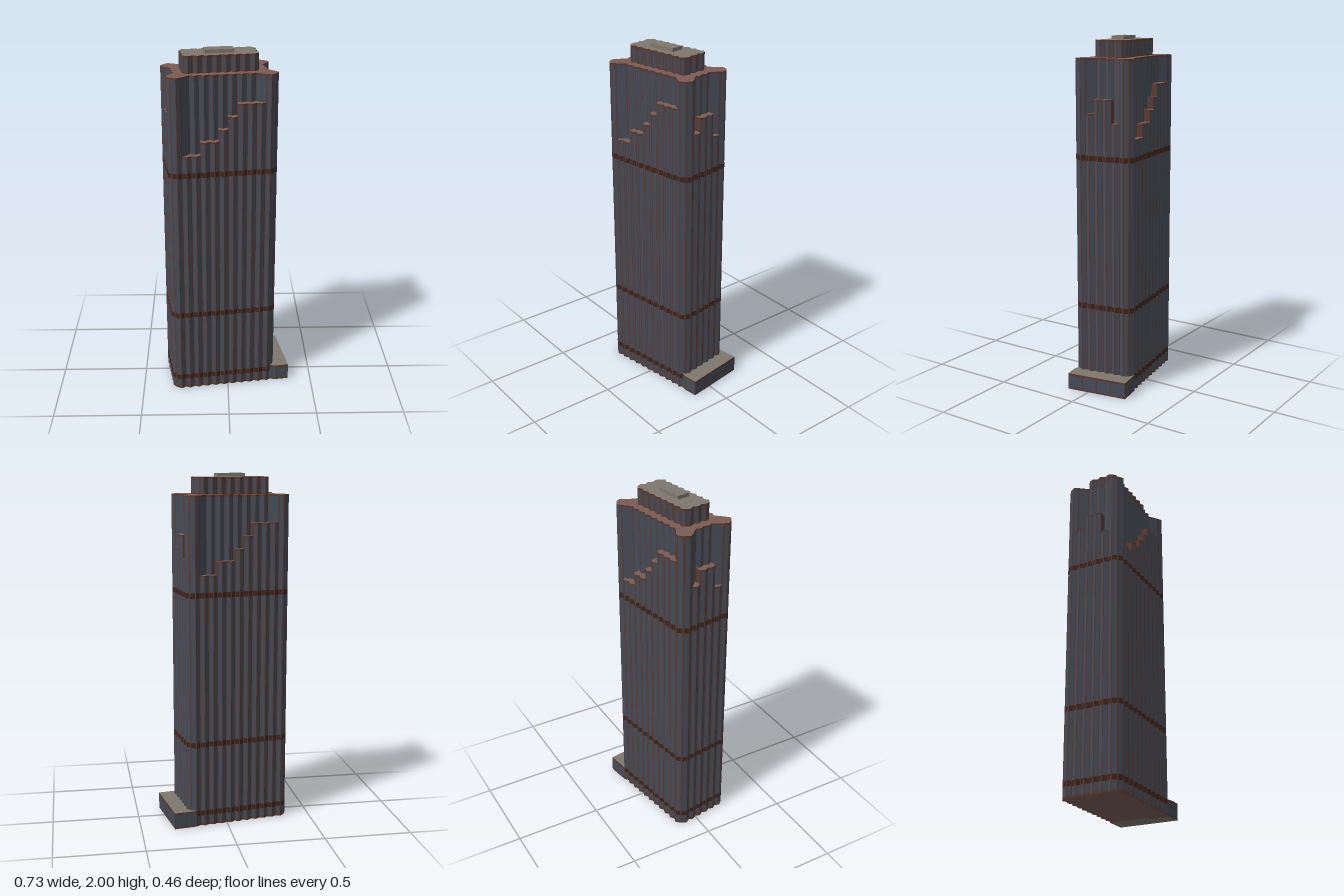
import * as THREE from 'three';

const PITCH = 0.0515, TOOTH = 0.014, RECESS = 0.039;
const STEP = 1.45, ROOF = 1.885, CORE_TOP = 1.98;

const mat = (color) => new THREE.MeshStandardMaterial({ color });

// One saw-toothed side: n bays, tooth tips at distance d, mapped to plan [x, z].
function makeSide(n, d, map) {
  const s = (i) => (i - n / 2) * PITCH;
  const peak = (i) => map(s(i), d);
  const valley = (i) => map(s(i + 0.5), d - TOOTH);
  const edge = (i) => i === 0 || i === n - 1;
  const innerValley = (i) => edge(i) ? valley(i) : map(s(i + 0.5), d - TOOTH - RECESS);
  const innerPeak = (i) => map(s(i), d - RECESS);
  // Outer path and set-back path between two valleys
  const outer = (a, b) => {
    const pts = [valley(a)];
    for (let i = a + 1; i <= b; i++) pts.push(peak(i), valley(i));
    return pts;
  };
  const inner = (a, b) => {
    const pts = [innerValley(a)];
    for (let i = a + 1; i <= b; i++) {
      if (!edge(i - 1) && !edge(i)) pts.push(innerPeak(i));
      pts.push(innerValley(i));
    }
    return pts;
  };
  return { n, peak, valley, outer, inner };
}

const alongFront = (s, d) => [s, d];
const alongRight = (s, d) => [d, -s];
const turn = (pts) => pts.map(([x, z]) => [-x, -z]);

// Closed plan: front, corner, right side, corner, then the same turned by 180 degrees.
function outline(front, right, [cx, cz], kind) {
  const run = (sd) => [sd.peak(0), ...sd[kind](0, sd.n - 1), sd.peak(sd.n)];
  const half = [...run(front), [cx, cz], ...run(right), [cx, -cz]];
  return [...half, ...turn(half)];
}

// Vertical prism on a plan polygon
function prism(name, pts, y0, y1, capMat, sideMat) {
  const shape = new THREE.Shape(pts.map(([x, z]) => new THREE.Vector2(x, -z)));
  const geo = new THREE.ExtrudeGeometry(shape, { depth: y1 - y0, bevelEnabled: false });
  geo.rotateX(-Math.PI / 2).translate(0, y0, 0);
  const mesh = new THREE.Mesh(geo, [capMat, sideMat]);
  mesh.name = name;
  return mesh;
}

// Collects flat upright panels laid just outside the edges of a path
class Panels {
  constructor() { this.pos = []; }
  add(pts, y0, y1, { margin = 0.14, lift = 0.0008, closed = false, split = 1 } = {}) {
    const count = closed ? pts.length : pts.length - 1;
    for (let i = 0; i < count; i++) {
      const a = pts[i], b = pts[(i + 1) % pts.length];
      const dx = b[0] - a[0], dz = b[1] - a[1], len = Math.hypot(dx, dz);
      const ox = -dz / len * lift, oz = dx / len * lift;
      for (let k = 0; k < split; k++) {
        const t0 = (k + margin) / split, t1 = (k + 1 - margin) / split;
        const at = (t, y) => [a[0] + dx * t + ox, y, a[1] + dz * t + oz];
        const p = at(t0, y0), q = at(t1, y0), r = at(t1, y1), s = at(t0, y1);
        this.pos.push(...p, ...q, ...r, ...p, ...r, ...s);
      }
    }
  }
  mesh(name, material) {
    const geo = new THREE.BufferGeometry();
    geo.setAttribute('position', new THREE.Float32BufferAttribute(this.pos, 3));
    geo.computeVertexNormals();
    const m = new THREE.Mesh(geo, material);
    m.name = name;
    return m;
  }
}

export function createModel() {
  const brick = mat(0x5a3a32), terrace = mat(0x7a5c54), roof = mat(0x7e776c);
  const glassMat = mat(0x454c58), louvreMat = mat(0x3e241b);
  const model = new THREE.Group();
  model.name = 'tower';
  const plan = new THREE.Group();
  plan.name = 'rotatedPlan';
  plan.position.set(-0.047, 0, 0.009);
  plan.rotation.y = 0.154;
  model.add(plan);

  const front = makeSide(10, 0.18, alongFront);
  const right = makeSide(5, 0.305, alongRight);
  const corner = [0.287, 0.158];
  const full = outline(front, right, corner, 'outer');
  const glass = new Panels(), louvres = new Panels();

  // Shaft and set-back upper shaft
  plan.add(prism('shaft', full, 0, STEP, terrace, brick));
  plan.add(prism('upperShaft', outline(front, right, corner, 'inner'), STEP, ROOF, terrace, brick));
  glass.add(full, 0.012, STEP - 0.006, { closed: true });
  for (const y of [0.075, 0.485, 1.34])
    louvres.add(full, y - 0.015, y + 0.015, { closed: true, margin: 0.1, lift: 0.0016 });

  // Stepped bays: [first valley, last valley, height]
  const steps = [
    [front, [[0, 2, 1.45], [2, 4, 1.525], [4, 5, 1.59], [5, 6, 1.66], [6, 9, 1.73]]],
    [right, [[0, 1, 1.585], [1, 3, 1.665], [3, 4, 1.535]]],
  ];
  for (const flip of [(p) => p, turn]) {
    for (const [side, bays] of steps) {
      for (const [a, b, h] of bays) {
        const outer = flip(side.outer(a, b)), inner = flip(side.inner(a, b));
        if (h > STEP) {
          const ring = [...outer, ...inner.slice().reverse()]
            .filter((p, i, all) => i === 0 || Math.hypot(p[0] - all[i - 1][0], p[1] - all[i - 1][1]) > 1e-6);
          const [first, last] = [ring[0], ring[ring.length - 1]];
          if (Math.hypot(first[0] - last[0], first[1] - last[1]) < 1e-6) ring.pop();
          plan.add(prism('steppedBay', ring, STEP, h, terrace, brick));
          glass.add(outer, STEP - 0.006, h - 0.01);
        }
        glass.add(inner, h, ROOF - 0.01, { margin: 0.08 });
      }
    }
    // Full-height corners
    const f = front, r = right, [cx, cz] = corner;
    const nextFront = turn([f.valley(0), f.peak(0)]);
    glass.add(flip([f.valley(9), f.peak(10), [cx, cz], r.peak(0), r.valley(0)]), STEP - 0.006, ROOF - 0.01);
    glass.add(flip([r.valley(4), r.peak(5), [cx, -cz], nextFront[1], nextFront[0]]), STEP - 0.006, ROOF - 0.01);
  }

  // Crown and roof box
  const crown = outline(makeSide(7, 0.094, alongFront), makeSide(2, 0.212, alongRight), [0.202, 0.077], 'outer');
  plan.add(prism('crown', crown, ROOF, CORE_TOP, roof, brick));
  glass.add(crown, ROOF + 0.005, CORE_TOP - 0.012, { closed: true, margin: 0.2 });
  const box = new THREE.Mesh(new THREE.BoxGeometry(0.16, 0.02, 0.074), roof);
  box.name = 'roofBox';
  box.position.set(0, 1.99, 0.007);
  plan.add(box);

  // Low side wing
  const wing = [[0.25, 0.158], [0.315, 0.178], [0.389, 0.178], [0.389, -0.18], [0.258, -0.18]];
  plan.add(prism('sideWing', wing, 0, 0.095, roof, brick));
  const wingGlass = { margin: 0.04, lift: 0.001 };
  glass.add(wing.slice(0, 3), 0.01, 0.083, wingGlass);
  glass.add(wing.slice(2, 4), 0.01, 0.083, { ...wingGlass, split: 4 });
  glass.add(wing.slice(3, 5), 0.01, 0.083, { ...wingGlass, split: 2 });

  plan.add(glass.mesh('windows', glassMat), louvres.mesh('louvreBands', louvreMat));
  return model;
}
